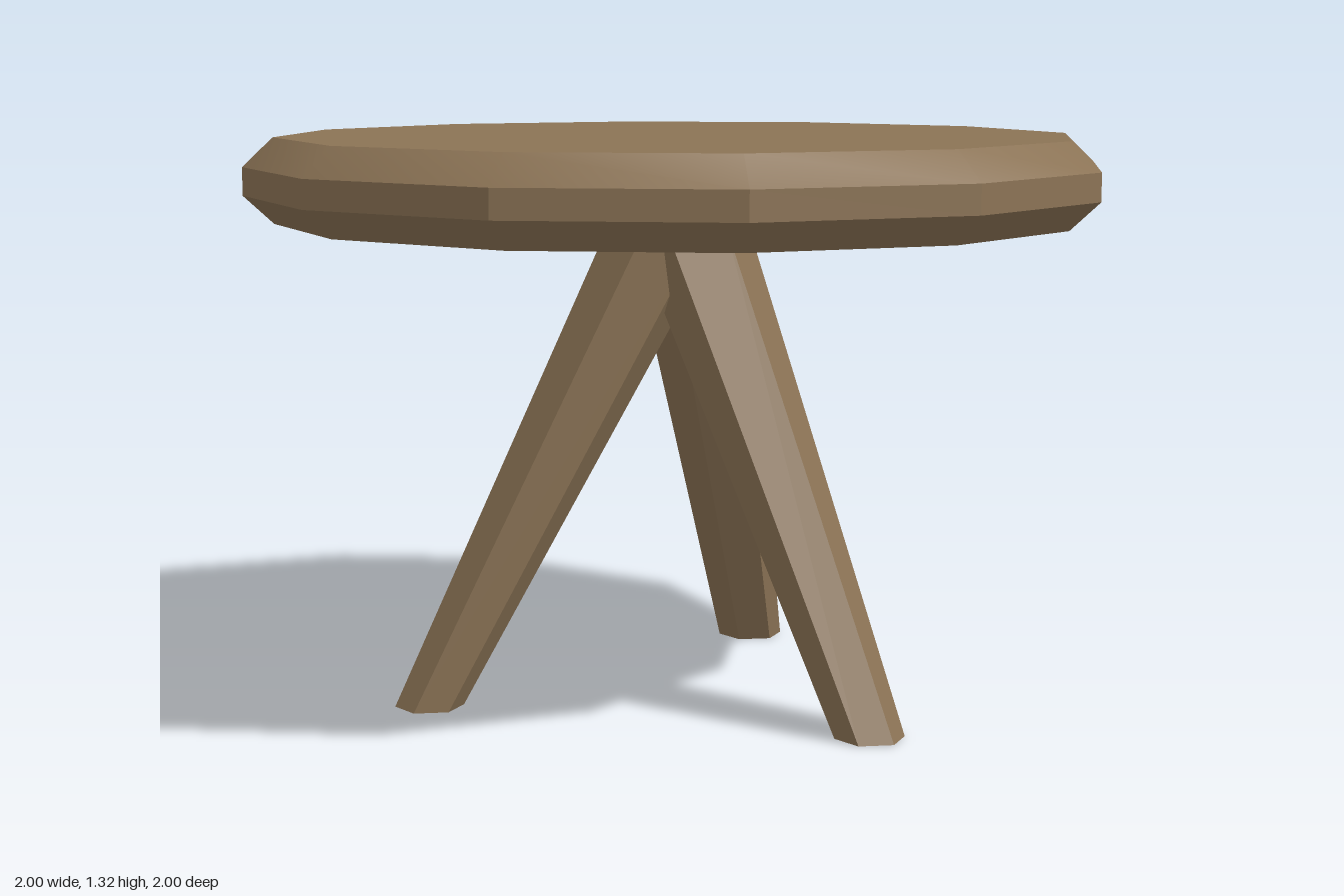
import * as THREE from 'three';
import { toCreasedNormals } from 'three/addons/utils/BufferGeometryUtils.js';

const wood = new THREE.MeshStandardMaterial({ color: 0x8b7355 });

// Tapered six-sided leg, sheared so both ends stay level: foot and head are [x, z] centres
function makeLeg(name, foot, head, height) {
  const geometry = new THREE.CylinderGeometry(0.14, 0.08, height, 6);
  geometry.translate(0, height / 2, 0);
  const p = geometry.attributes.position;
  for (let i = 0; i < p.count; i++) {
    const t = p.getY(i) / height;
    p.setX(i, p.getX(i) + THREE.MathUtils.lerp(foot[0], head[0], t));
    p.setZ(i, p.getZ(i) + THREE.MathUtils.lerp(foot[1], head[1], t));
  }
  const leg = new THREE.Mesh(toCreasedNormals(geometry, 0.5), wood);
  leg.name = name;
  return leg;
}

export function createModel() {
  const table = new THREE.Group();
  table.name = 'table';

  // Twelve-sided top with bevelled upper and lower rims
  const profile = [[0, 1.12], [0.93, 1.12], [1, 1.185], [1, 1.25], [0.93, 1.317], [0, 1.317]]
    .map(([r, y]) => new THREE.Vector2(r, y));
  const top = new THREE.Mesh(toCreasedNormals(new THREE.LatheGeometry(profile, 12), 0.5), wood);
  top.name = 'tableTop';
  table.add(top);

  // Three splayed legs meeting under the centre
  table.add(
    makeLeg('frontLeg', [0.06, 0.617], [0, 0.035], 1.125),
    makeLeg('backLeftLeg', [0.5, -0.33], [0.02, 0.005], 1.125),
    makeLeg('backRightLeg', [-0.56, -0.222], [-0.025, 0.008], 1.125),
  );
  return table;
}
